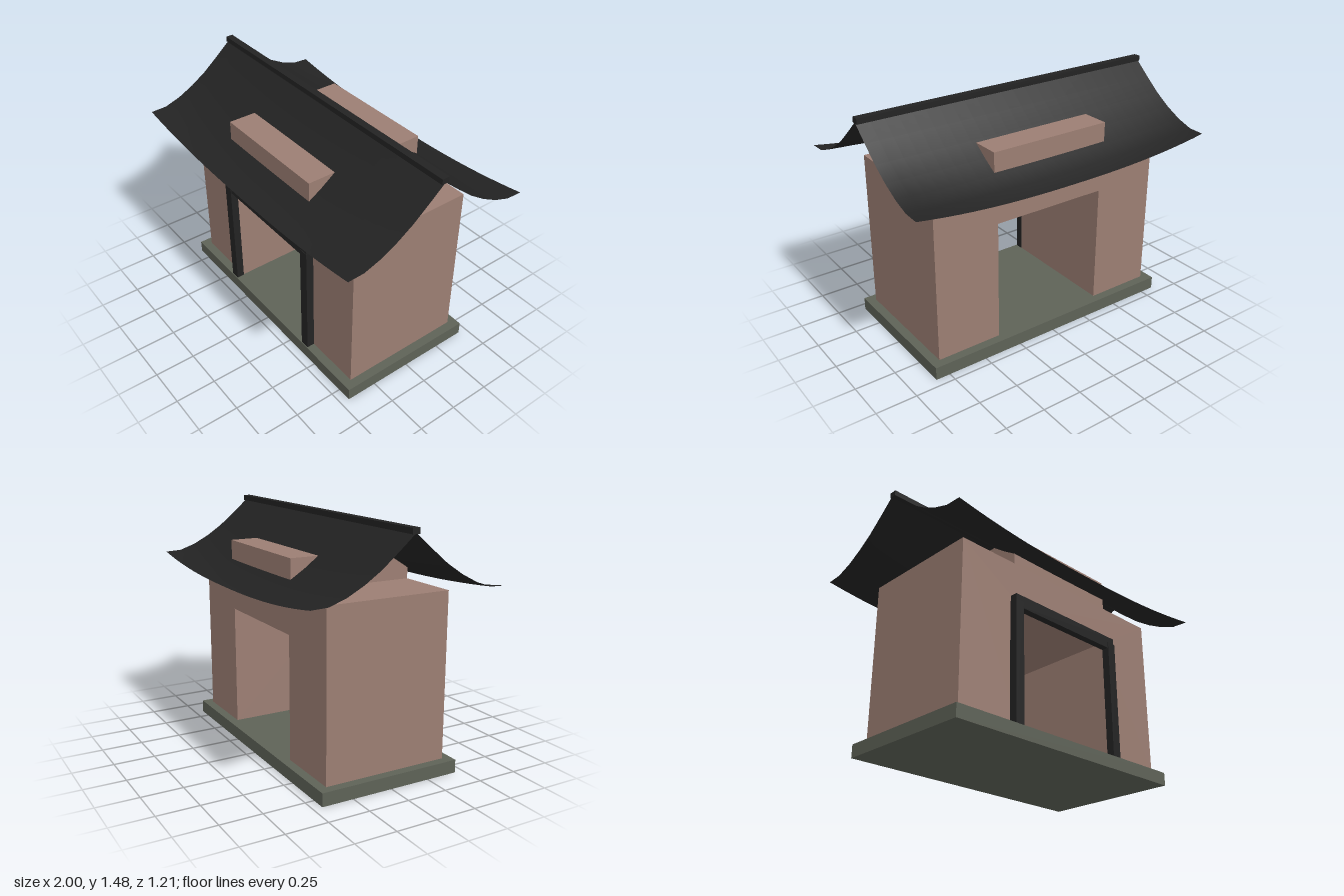
import * as THREE from 'three';

const stone = new THREE.MeshStandardMaterial({ color: 0x5e6257 });
stone.name = 'mossy stone';
const plaster = new THREE.MeshStandardMaterial({ color: 0x9c7e73 });
plaster.name = 'clay plaster';
const tile = new THREE.MeshStandardMaterial({ color: 0x232323, side: THREE.DoubleSide });
tile.name = 'black tile';

// Box given by its centre x, bottom y, centre z and size
function box(name, material, x, y, z, w, h, d) {
  const mesh = new THREE.Mesh(new THREE.BoxGeometry(w, h, d), material);
  mesh.name = name;
  mesh.position.set(x, y + h / 2, z);
  return mesh;
}

// Wall block with a passage running front to back
function gateWalls() {
  const outline = [
    [-0.785, 0.08], [-0.37, 0.08], [-0.37, 0.83], [0.37, 0.83],
    [0.37, 0.08], [0.785, 0.08], [0.785, 1.08], [-0.785, 1.08],
  ].map(([x, y]) => new THREE.Vector2(x, y));
  const geometry = new THREE.ExtrudeGeometry(new THREE.Shape(outline), { depth: 0.78, bevelEnabled: false });
  geometry.translate(0, 0, -0.39);
  const mesh = new THREE.Mesh(geometry, plaster);
  mesh.name = 'gateWalls';
  return mesh;
}

// Sagging roof sheet whose eave lifts towards both ends
function roofSlope(name) {
  const heights = [1.45, 1.362, 1.275, 1.2, 1.135, 1.083, 1.056];
  const geometry = new THREE.PlaneGeometry(2, 0.605, 24, heights.length - 1);
  const position = geometry.attributes.position;
  for (let i = 0; i < position.count; i++) {
    const x = position.getX(i);
    const row = Math.floor(i / 25);
    const t = row / (heights.length - 1);
    const lift = 0.067 * Math.pow(t, 2.3) * Math.pow(Math.abs(x), 2.4);
    position.setXYZ(i, x, heights[row] + lift, t * 0.605);
  }
  geometry.computeVertexNormals();
  const mesh = new THREE.Mesh(geometry, tile);
  mesh.name = name;
  return mesh;
}

export function createModel() {
  const model = new THREE.Group();
  model.name = 'gatehouse';

  // Plinth, walls and the attic block that pokes through the roof
  model.add(box('plinth', stone, 0, 0, 0, 1.68, 0.08, 0.89));
  model.add(gateWalls());
  model.add(box('atticBlock', plaster, 0, 1.08, 0, 0.785, 0.185, 0.78));

  // Door frame on the front face
  const frame = new THREE.Group();
  frame.name = 'doorFrame';
  for (const side of [-1, 1]) {
    frame.add(box(side > 0 ? 'leftPost' : 'rightPost', tile, side * 0.396, 0.08, 0.414, 0.06, 0.738, 0.048));
  }
  frame.add(box('lintel', tile, 0, 0.78, 0.412, 0.842, 0.076, 0.044));
  model.add(frame);

  // Roof slopes and ridge beam
  const front = roofSlope('frontRoof');
  const back = roofSlope('backRoof');
  back.rotation.y = Math.PI;
  model.add(front, back);
  model.add(box('ridgeBeam', tile, 0, 1.443, 0, 2, 0.033, 0.045));

  return model;
}
